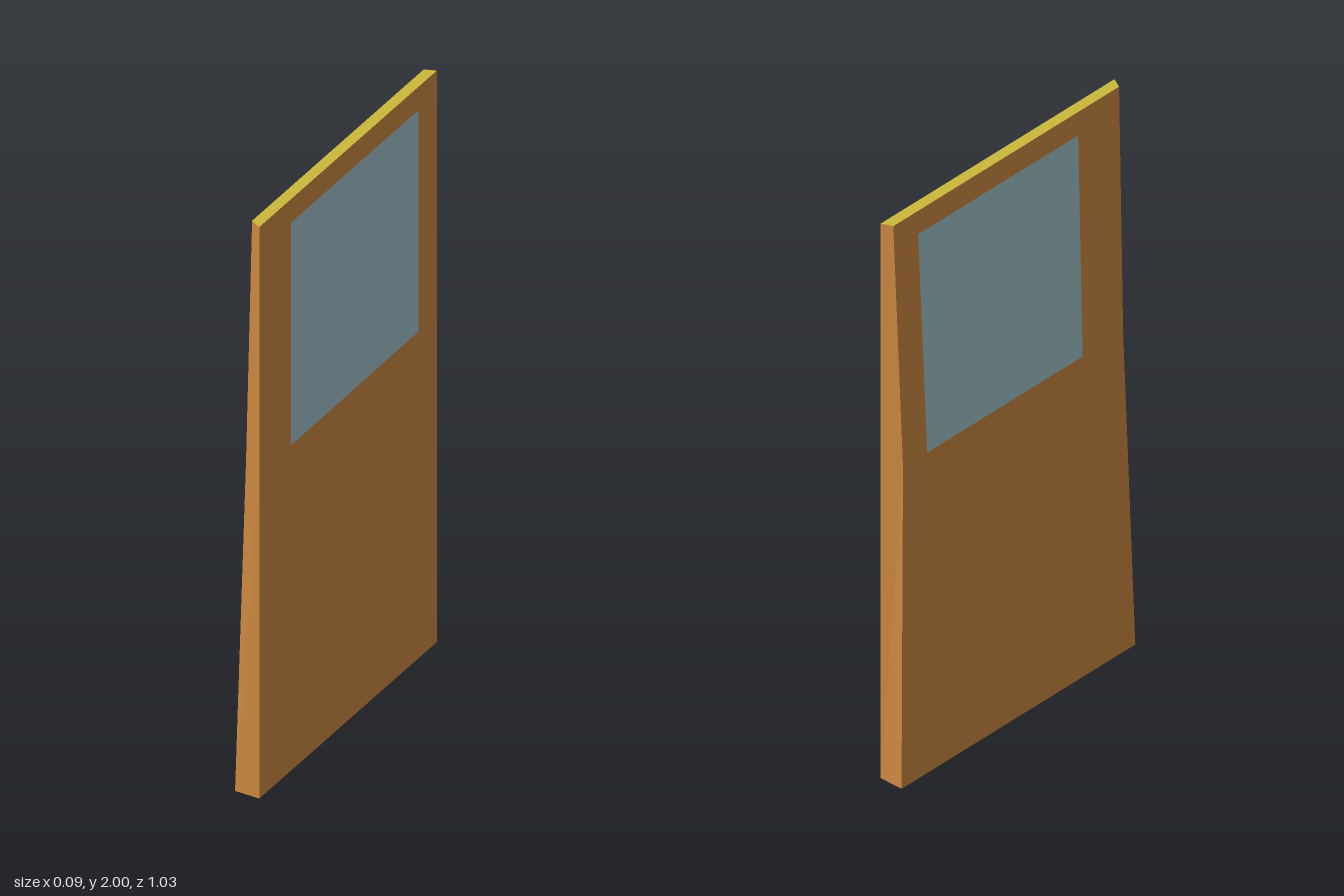
import * as THREE from 'three';

// Flat-shaded mesh from quads; corners run counter-clockwise seen from outside
function quadMesh(name, color, quads, doubleSided = false) {
  const pos = [];
  for (const [a, b, c, d] of quads) pos.push(...a, ...b, ...c, ...a, ...c, ...d);
  const geo = new THREE.BufferGeometry();
  geo.setAttribute('position', new THREE.Float32BufferAttribute(pos, 3));
  geo.computeVertexNormals();
  const mat = new THREE.MeshStandardMaterial({ color });
  if (doubleSided) mat.side = THREE.DoubleSide;
  const mesh = new THREE.Mesh(geo, mat);
  mesh.name = name;
  return mesh;
}

// Horizontal section: flat outer edge at +x, tapered inner edge towards -x
function section(y, xIn, zInFront, zInBack) {
  return [
    [0.042, y, 0.515],
    [0.042, y, -0.515],
    [xIn, y, zInBack],
    [xIn, y, zInFront],
  ];
}

export function createModel() {
  const door = new THREE.Group();
  door.name = 'door';

  // Sections at the foot, the window sill and the top
  const rings = [
    section(0, -0.042, 0.515, -0.515),
    section(1.14, -0.025, 0.48, -0.49),
    section(2, 0.005, 0.495, -0.5),
  ];
  const walls = [];
  for (let r = 0; r < 2; r++) {
    for (let i = 0; i < 4; i++) {
      const j = (i + 1) % 4;
      walls.push([rings[r][i], rings[r][j], rings[r + 1][j], rings[r + 1][i]]);
    }
  }
  const foot = [...rings[0]].reverse();
  door.add(quadMesh('doorPanel', 0xcc8840, [...walls, foot]));

  // Top edge
  door.add(quadMesh('topEdge', 0xccb83c, [rings[2]]));

  // Window panes lying just proud of both faces
  const lift = 0.0015;
  const xo = 0.042 + lift;
  door.add(quadMesh('outerWindow', 0xa0c2ca, [
    [[xo, 1.14, 0.335], [xo, 1.145, -0.405], [xo, 1.92, -0.405], [xo, 1.92, 0.335]],
  ], true));
  const xLow = -0.025 - lift, xHigh = 0.0022 - lift;
  door.add(quadMesh('innerWindow', 0xa0c2ca, [
    [[xLow, 1.14, -0.385], [xLow, 1.14, 0.3], [xHigh, 1.92, 0.31], [xHigh, 1.92, -0.395]],
  ], true));

  return door;
}
